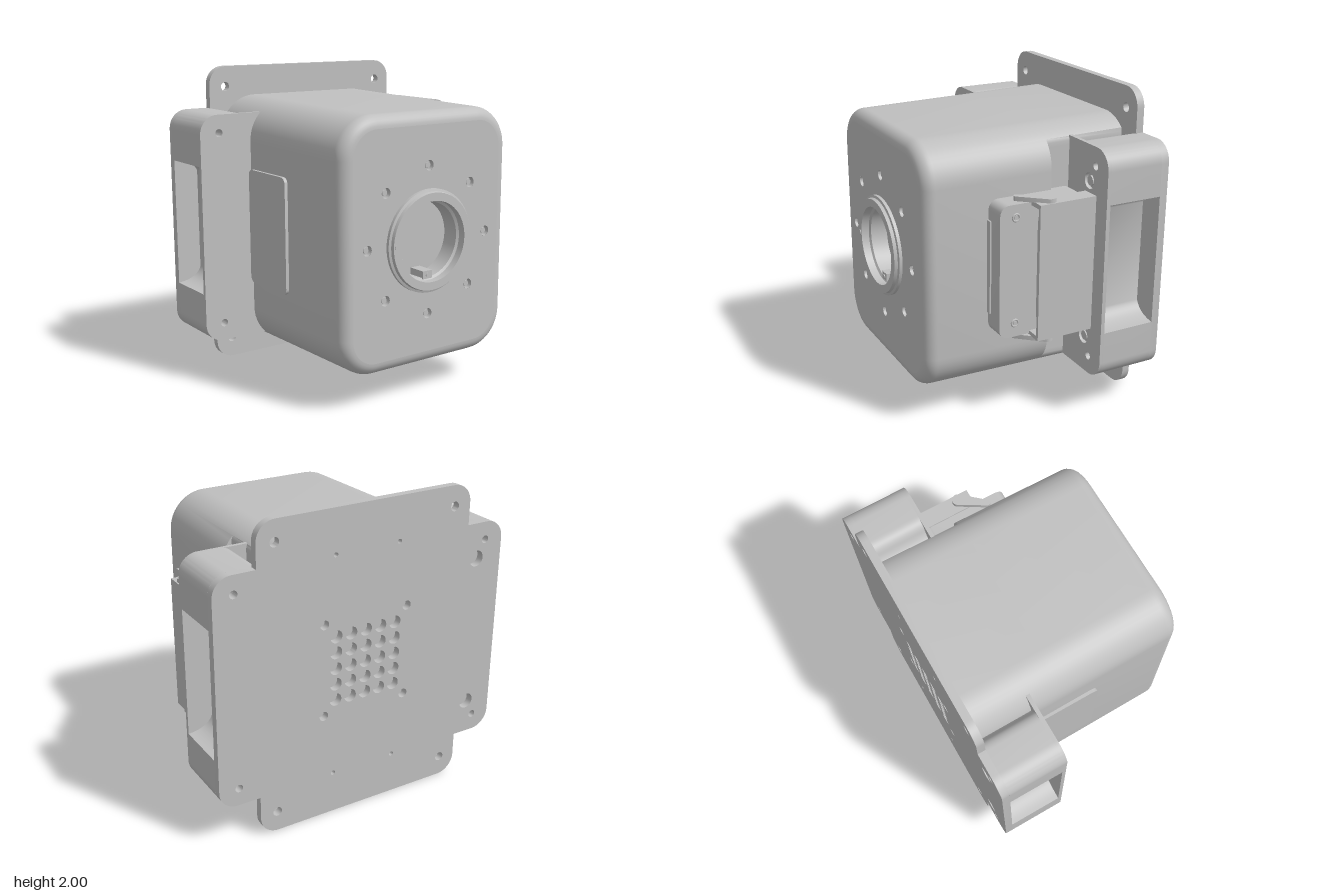
import * as THREE from 'three';
import { toCreasedNormals } from 'three/addons/utils/BufferGeometryUtils.js';

const grey = new THREE.MeshStandardMaterial({ color: 0xc0c0c0, side: THREE.DoubleSide });
grey.name = 'housing grey';

// Rounded rectangle points, counter-clockwise, centred on (cx, cy)
function roundRect(cx, cy, hx, hy, r, n = 8) {
  const pts = [];
  [[1, 1], [-1, 1], [-1, -1], [1, -1]].forEach(([sx, sy], k) => {
    for (let i = 0; i <= n; i++) {
      const a = (k + i / n) * Math.PI / 2;
      pts.push(new THREE.Vector2(cx + sx * (hx - r) + r * Math.cos(a), cy + sy * (hy - r) + r * Math.sin(a)));
    }
  });
  return pts;
}

function hole(shape, x, y, r) {
  shape.holes.push(new THREE.Path().absarc(x, y, r, 0, Math.PI * 2, true));
}

export function createModel() {
  const model = new THREE.Group();
  const add = (name, geo, crease = 0.6) => {
    const mesh = new THREE.Mesh(toCreasedNormals(geo, crease), grey);
    mesh.name = name;
    model.add(mesh);
    return mesh;
  };
  const extrude = (shape, z0, z1) =>
    new THREE.ExtrudeGeometry(shape, { depth: z1 - z0, bevelEnabled: false, curveSegments: 10 }).translate(0, 0, z0);
  // Profile in (-z, y), extruded along x
  const extrudeX = (shape, x0, x1) => extrude(shape, x0, x1).rotateY(Math.PI / 2);
  const box = (name, x0, x1, y0, y1, z0, z1) =>
    add(name, new THREE.BoxGeometry(x1 - x0, y1 - y0, z1 - z0).translate((x0 + x1) / 2, (y0 + y1) / 2, (z0 + z1) / 2));
  const disc = (name, x, y, z0, z1, r, n = 20) =>
    add(name, new THREE.CylinderGeometry(r, r, z1 - z0, n).rotateX(Math.PI / 2).translate(x, y, (z0 + z1) / 2));
  const latheZ = (name, pts, x, y) =>
    add(name, new THREE.LatheGeometry(pts.map(p => new THREE.Vector2(...p)), pts.length > 4 ? 64 : 20)
      .rotateX(Math.PI / 2).translate(x, y, 0));

  // Main body: tapered rounded loops, pocket on the left rear, filleted front edge
  const stages = [[-0.685, 0.65, 0.805, 0, 0.58], [-0.15, 0.646, 0.795, 0, 0.58], [-0.15, 0.646, 0.795, 0, 9]];
  for (let i = 0; i <= 8; i++) {
    const a = i / 8 * Math.PI / 2, f = 0.08;
    stages.push([0.605 + f * Math.sin(a), 0.64, 0.783, f * (1 - Math.cos(a)), 9]);
  }
  const loops = stages.map(([, hx, hy, inset, limit]) =>
    roundRect(0, 1, hx - inset, hy - inset, 0.25 - inset, 12).map(p => new THREE.Vector2(Math.min(p.x, limit), p.y)));
  const pos = [], index = [], n = loops[0].length;
  loops.forEach((loop, j) => loop.forEach((p, i) => {
    pos.push(p.x, p.y, stages[j][0]);
    if (j < loops.length - 1) {
      const a = j * n + i, b = j * n + (i + 1) % n;
      index.push(a, b, b + n, a, b + n, a + n);
    }
  }));
  const shell = new THREE.BufferGeometry();
  shell.setAttribute('position', new THREE.Float32BufferAttribute(pos, 3));
  shell.setIndex(index);
  add('bodyShell', shell);

  // Front face with lens bore and eight sunken screws
  const face = new THREE.Shape(loops[loops.length - 1]);
  hole(face, 0, 1, 0.3);
  for (let i = 0; i < 8; i++) {
    const a = i * Math.PI / 4, x = 0.46 * Math.cos(a), y = 1 + 0.46 * Math.sin(a);
    hole(face, x, y, 0.032);
    latheZ('screwCup', [[0.001, 0.65], [0.032, 0.65], [0.032, 0.685]], x, y);
    disc('screwHead', x, y, 0.65, 0.672, 0.018, 12);
  }
  add('frontFace', new THREE.ShapeGeometry(face, 24).translate(0, 0, 0.685));

  // Lens mount ring and bore
  latheZ('lensMount', [[0.001, 0.56], [0.235, 0.56], [0.235, 0.67], [0.25, 0.68], [0.25, 0.73], [0.3, 0.73],
    [0.305, 0.71], [0.32, 0.705], [0.32, 0.68]], 0, 1);
  box('mountLug', -0.036, 0.036, 0.76, 0.81, 0.56, 0.68);
  disc('lugScrew', 0, 0.783, 0.67, 0.686, 0.014, 12);
  disc('mountPin', -0.275, 1, 0.72, 0.735, 0.018, 12);
  for (const y of [0.86, 1.14]) disc('borePin', -0.11, y, 0.55, 0.57, 0.015, 12);

  // Back plate: cross outline with rounded outer corners
  const R = 0.12, plate = new THREE.Shape();
  const corner = [[0.73, 0.27, 0], [1, 0.27, 1], [1, 1.73, 1], [0.73, 1.73, 0], [0.73, 2, 1], [-0.73, 2, 1],
    [-0.73, 1.73, 0], [-1, 1.73, 1], [-1, 0.27, 1], [-0.73, 0.27, 0], [-0.73, 0, 1], [0.73, 0, 1]];
  corner.forEach(([x, y, round], i) => {
    if (!i) return plate.moveTo(x, y);
    if (!round) return plate.lineTo(x, y);
    const toward = k => {
      const [qx, qy] = corner[(k + 12) % 12];
      return [x + Math.sign(qx - x) * R, y + Math.sign(qy - y) * R];
    };
    const p = toward(i - 1), q = toward(i + 1), c = 0.45;
    plate.lineTo(...p);
    plate.bezierCurveTo(p[0] + (x - p[0]) * (1 - c), p[1] + (y - p[1]) * (1 - c),
      q[0] + (x - q[0]) * (1 - c), q[1] + (y - q[1]) * (1 - c), ...q);
  });
  for (const sx of [-1, 1]) for (const sy of [-1, 1]) {
    hole(plate, sx * 0.615, 1 + sy * 0.867, 0.03);
    hole(plate, sx * 0.87, 1 + sy * 0.615, 0.025);
    hole(plate, sx * 0.29, 1 + sy * 0.3, 0.03);
    hole(plate, sx * 0.22, 1 + sy * 0.72, 0.015);
  }
  for (const y of [0.5, 1.5]) hole(plate, -0.81, y, 0.052);
  for (let i = -2; i <= 2; i++) for (let j = -2; j <= 2; j++) hole(plate, i * 0.104, 1 + j * 0.104, 0.041);
  add('backPlate', extrude(plate, -0.735, -0.685));
  box('ventBacking', -0.5, 0.5, 0.25, 1.75, -0.68, -0.66);

  // Side wings: core block with a wide outer recess, and a thin front flange
  for (const s of [1, -1]) {
    const core = new THREE.Shape();
    core.moveTo(0.57, 0.42);
    core.quadraticCurveTo(0.64, 0.4, 0.66, 0.33);
    core.quadraticCurveTo(0.68, 0.27, 0.74, 0.27);
    core.lineTo(0.88, 0.27);
    core.absarc(0.88, 0.39, R, -Math.PI / 2, 0);
    core.lineTo(1, 0.59);
    core.quadraticCurveTo(0.87, 0.6, 0.84, 0.68);
    core.lineTo(0.84, 1.33);
    core.quadraticCurveTo(0.87, 1.4, 1, 1.41);
    core.lineTo(1, 1.61);
    core.absarc(0.88, 1.61, R, 0, Math.PI / 2);
    core.lineTo(0.74, 1.73);
    core.quadraticCurveTo(0.68, 1.73, 0.66, 1.67);
    core.quadraticCurveTo(0.64, 1.6, 0.57, 1.58);

    const flange = new THREE.Shape();
    flange.moveTo(0.57, 0.27);
    flange.lineTo(0.88, 0.27);
    flange.absarc(0.88, 0.39, R, -Math.PI / 2, 0);
    flange.absarc(0.88, 1.61, R, 0, Math.PI / 2);
    flange.lineTo(0.57, 1.73);
    for (const y of [0.385, 1.615]) {
      hole(core, 0.87, y, 0.025);
      hole(flange, 0.87, y, 0.025);
    }
    if (s > 0) for (const y of [0.5, 1.51]) {
      hole(flange, 0.81, y, 0.05);
      disc('flangePin', 0.81, y, -0.335, -0.315, 0.03);
    }
    const parts = [['wingCore', core, -0.685, -0.335], ['wingFlange', flange, -0.335, -0.31]];
    for (const [name, shape, z0, z1] of parts) {
      const pts = shape.extractPoints(10);
      const flip = list => list.map(p => new THREE.Vector2(p.x * s, p.y));
      const sided = new THREE.Shape(flip(pts.shape));
      sided.holes = pts.holes.map(h => new THREE.Path(flip(h)));
      add(name, extrude(sided, z0, z1));
    }
  }

  // Shallow panel on the right side
  add('sidePanel', extrudeX(new THREE.Shape(roundRect(0.095, 1.0, 0.215, 0.37, 0.04)), -0.665, -0.62));

  // Connector box on the left side, with screws, cover and latches
  add('connectorBox', extrudeX(new THREE.Shape(roundRect(0.02, 1.01, 0.29, 0.42, 0.06)), 0.62, 0.785));
  box('connectorGasket', 0.62, 0.68, 0.72, 1.31, 0.26, 0.28);
  for (const y of [0.68, 1.35]) {
    add('connectorScrew', new THREE.TorusGeometry(0.022, 0.006, 8, 20).rotateY(Math.PI / 2).translate(0.785, y, 0.165));
    add('connectorScrewHead', new THREE.CylinderGeometry(0.013, 0.013, 0.012, 12)
      .rotateZ(Math.PI / 2).translate(0.785, y, 0.165));
  }
  box('coverPlate', 0.87, 0.89, 0.59, 1.43, -0.31, 0.066);
  box('coverFiller', 0.78, 0.86, 0.69, 1.31, -0.31, 0.02);
  box('coverCore', 0.78, 0.875, 0.62, 1.4, -0.31, -0.04);
  for (const s of [-1, 1]) {
    const y = 1.01 + s * 0.415;
    box('coverWall', 0.775, 0.89, y - 0.014, y + 0.014, -0.31, 0.066);
    // Tapered latch lever lying across the end of the cover
    const lever = new THREE.Shape();
    const a = Math.atan2(0.16, -0.13);
    lever.absarc(0.845, -0.02, 0.038, a + Math.PI / 2, a + Math.PI * 1.5);
    lever.absarc(0.732, 0.133, 0.02, a - Math.PI / 2, a + Math.PI / 2);
    const y0 = 1.01 + s * 0.44;
    add('latchLever', extrude(lever, -0.014, 0.014).rotateX(Math.PI / 2).translate(0, y0, 0));
  }
  return model;
}
